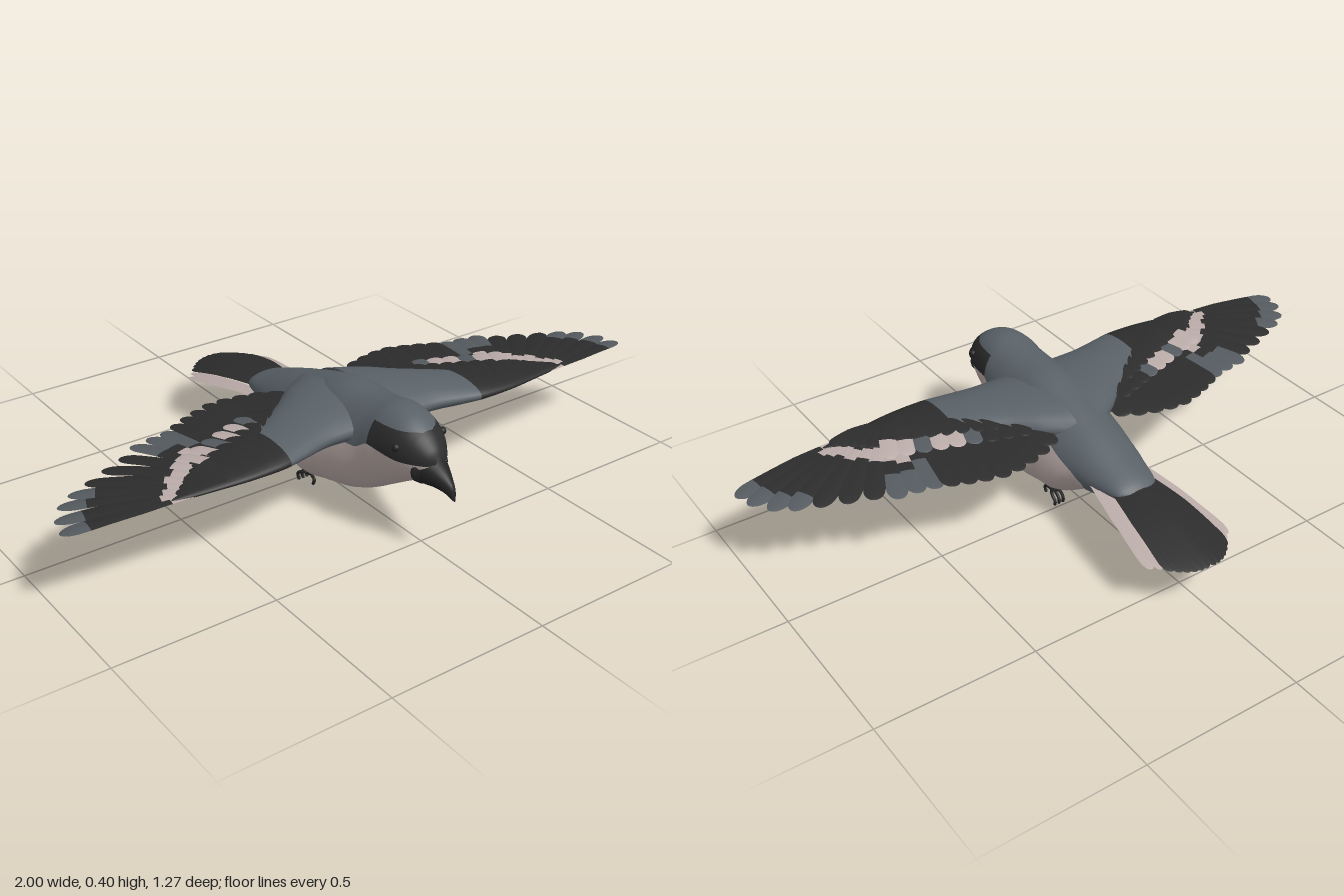
import * as THREE from 'three';

const mat = (name, color) => {
  const m = new THREE.MeshStandardMaterial({ color, side: THREE.DoubleSide });
  m.name = name;
  return m;
};
const SLATE = mat('slate grey', 0x596167);
const BLACK = mat('feather black', 0x2c2c2d);
const PALE = mat('pale pinkish white', 0xbaaba8);
const HORN = mat('beak and claw black', 0x232324);
const TIP = mat('feather tip grey', 0x545a5f);

const { lerp } = THREE.MathUtils;

// Skin a grid of points; matOf(row, column) picks the colour of each quad
function surface(name, rows, matOf, { closed = false, flip = false } = {}) {
  const n = rows[0].length, cols = closed ? n : n - 1;
  const byMat = new Map();
  for (let i = 0; i < rows.length - 1; i++) for (let j = 0; j < cols; j++) {
    const k = (j + 1) % n;
    const a = i * n + j, b = (i + 1) * n + j, c = (i + 1) * n + k, d = i * n + k;
    const m = matOf(i, j);
    if (!byMat.has(m)) byMat.set(m, []);
    byMat.get(m).push(...(flip ? [a, c, b, a, d, c] : [a, b, c, a, c, d]));
  }
  const g = new THREE.BufferGeometry();
  g.setAttribute('position', new THREE.Float32BufferAttribute(rows.flat(2), 3));
  const index = [], mats = [...byMat.keys()];
  mats.forEach((m, q) => {
    g.addGroup(index.length, byMat.get(m).length, q);
    index.push(...byMat.get(m));
  });
  g.setIndex(index);
  g.computeVertexNormals();
  const mesh = new THREE.Mesh(g, mats.length > 1 ? mats : mats[0]);
  mesh.name = name;
  return mesh;
}

// Smoothly resample a table of stations
function smooth(table, count) {
  const pick = (r, k) => new THREE.Vector3(r[k], r[k + 1], r[k + 2] ?? 0);
  const a = new THREE.CatmullRomCurve3(table.map(r => pick(r, 0)));
  const b = new THREE.CatmullRomCurve3(table.map(r => pick(r, 3)));
  return Array.from({ length: count + 1 }, (_, i) => {
    const p = a.getPoint(i / count), q = b.getPoint(i / count);
    return [p.x, p.y, p.z, q.x, q.y];
  });
}

// Piecewise linear lookup in [x, y] pairs with falling x
function lookup(pairs, x) {
  for (let i = 1; i < pairs.length; i++) {
    const [x0, y0] = pairs[i - 1], [x1, y1] = pairs[i];
    if (x >= x1) return lerp(y0, y1, Math.min(1, Math.max(0, (x - x0) / (x1 - x0))));
  }
  return pairs[pairs.length - 1][1];
}

// Head and body: z, top, bottom, half width, height fraction of the widest point
function makeBody() {
  const st = smooth([
    [0.565, 0.30, 0.27, 0.012, 0.55], [0.55, 0.328, 0.245, 0.04, 0.55], [0.51, 0.367, 0.217, 0.07, 0.55],
    [0.46, 0.396, 0.188, 0.09, 0.55], [0.395, 0.408, 0.147, 0.102, 0.55], [0.327, 0.397, 0.105, 0.115, 0.5],
    [0.26, 0.39, 0.073, 0.133, 0.44], [0.155, 0.387, 0.052, 0.15, 0.38], [0.05, 0.36, 0.046, 0.15, 0.38],
    [0, 0.345, 0.05, 0.145, 0.4], [-0.05, 0.328, 0.077, 0.135, 0.42], [-0.115, 0.306, 0.122, 0.115, 0.45],
    [-0.2, 0.273, 0.145, 0.095, 0.5], [-0.285, 0.238, 0.183, 0.072, 0.5], [-0.32, 0.212, 0.2, 0.025, 0.5],
  ], 84);
  const paleEdge = [[0.57, 0.285], [0.48, 0.283], [0.37, 0.3], [0.33, 0.272], [0, 0.27], [-0.115, 0.22], [-0.16, 0.19]];
  const N = 8, H = Math.PI / 2;
  const rows = st.map(([z, top, bot, w, f]) => {
    const c = lerp(bot, top, f);
    const angle = y => {
      const s = (y - c) / (y > c ? top - c : c - bot);
      return Math.asin(Math.min(0.97, Math.max(-0.97, s)));
    };
    const a1 = angle(lookup(paleEdge, z)), a2 = Math.max(angle(0.367), a1 + 0.05);
    const half = [];
    for (let i = 0; i <= 3 * N; i++) {
      const b = Math.min(2, Math.floor(i / N)), t = i / N - b;
      const a = lerp([-H, a1, a2][b], [a1, a2, H][b], t), s = Math.sin(a);
      half.push([w * Math.cos(a), c + s * (s > 0 ? top - c : c - bot), z]);
    }
    return [...half, ...half.slice(1, -1).reverse().map(([x, y, zz]) => [-x, y, zz])];
  });
  return surface('body', rows, (i, j) => {
    const z = (st[i][0] + st[i + 1][0]) / 2;
    const band = Math.floor((j < 3 * N ? j : 6 * N - 1 - j) / N);
    if (band === 0) return z < -0.15 ? SLATE : PALE;
    if (band === 1) return z > 0.37 ? BLACK : SLATE;
    return z > 0.51 ? BLACK : SLATE;
  }, { closed: true });
}

const ring = (n, fn) => Array.from({ length: n }, (_, k) => {
  const a = -Math.PI / 2 + k / n * Math.PI * 2;
  return fn(Math.cos(a), Math.sin(a));
});

// Hooked beak: z, top, bottom, half width
function makeBeak() {
  const st = smooth([
    [0.635, 0.208, 0.2, 0.002, 0], [0.626, 0.24, 0.203, 0.01, 0], [0.605, 0.262, 0.213, 0.02, 0],
    [0.57, 0.287, 0.217, 0.036, 0], [0.535, 0.305, 0.213, 0.05, 0], [0.5, 0.3, 0.215, 0.05, 0],
  ], 24);
  const rows = st.map(([z, t, b, w]) => ring(20, (c, s) => [w * c, (t + b) / 2 + s * (t - b) / 2, z]));
  return surface('beak', rows, () => HORN, { closed: true });
}

// Feather from root to tip; bands are [end fraction, material]
function feather(name, root, tip, width, bands, bow = 0, tilt = 0) {
  const n = 20, d = tip.map((v, k) => v - root[k]);
  const len = Math.hypot(d[0], d[2]), sx = -d[2] / len, sz = d[0] / len;
  const rows = Array.from({ length: n + 1 }, (_, i) => {
    const t = Math.sin(i / n * Math.PI / 2);
    const round = t > 0.86 ? Math.sqrt(Math.max(0.0004, 1 - ((t - 0.86) / 0.14) ** 2)) : 1;
    const w = width * Math.min(1, 0.55 + t) * round;
    const y = root[1] + d[1] * t + bow * Math.sin(Math.PI * t);
    return [-1, -0.5, 0, 0.5, 1].map(u => [
      root[0] + d[0] * t + sx * w * u, y + w * (0.12 * (1 - u * u) + tilt * u), root[2] + d[2] * t + sz * w * u]);
  });
  return surface(name, rows, i => {
    const t = Math.sin((i + 0.5) / n * Math.PI / 2);
    return bands.find(b => t <= b[0])[1];
  }, { flip: true });
}

// Wing on side s: muscled arm plus layered rows of feathers
function makeWing(s) {
  const wing = new THREE.Group();
  wing.name = s > 0 ? 'leftWing' : 'rightWing';
  // x, top, bottom, front z, back z
  const st = smooth([
    [0.04, 0.365, 0.23, 0.32, -0.06], [0.13, 0.36, 0.245, 0.315, 0], [0.2, 0.352, 0.255, 0.318, 0.06],
    [0.28, 0.342, 0.262, 0.336, 0.11], [0.36, 0.332, 0.27, 0.353, 0.15], [0.46, 0.322, 0.277, 0.354, 0.19],
    [0.56, 0.312, 0.282, 0.343, 0.24], [0.66, 0.302, 0.287, 0.328, 0.295], [0.7, 0.296, 0.292, 0.318, 0.312],
  ], 40);
  const rows = st.map(([x, t, b, f, k]) => ring(24, (c, q) =>
    [s * x, (t + b) / 2 + q * (t - b) / 2, (f + k) / 2 + c * (f - k) / 2]));
  wing.add(surface('wingArm', rows, i => st[i][0] > 0.33 ? BLACK : SLATE, { closed: true, flip: s < 0 }));

  const add = (name, r, t, w, bands, bow) =>
    wing.add(feather(name, [s * r[0], r[1], r[2]], [s * t[0], t[1], t[2]], w, bands, bow, 0.1 * s));

  // Primaries, outermost first
  const primaries = [[1, 0.265], [0.987, 0.208], [0.95, 0.15], [0.9, 0.113], [0.835, 0.083], [0.765, 0.05],
    [0.695, 0.02], [0.635, -0.02], [0.575, -0.03]];
  primaries.forEach(([x, z], i) => {
    const k = i / 8, w0 = lerp(0.1, 0.3, k), w1 = lerp(0.24, 0.5, k);
    const bands = [[w0, BLACK], [w1, PALE]];
    if (i < 4) bands.push([0.83, BLACK], [1, TIP]);
    else if (i < 7) bands.push([1, BLACK]);
    else bands.push([0.62, BLACK], [1, TIP]);
    add('primaryFeather', [lerp(0.61, 0.49, k), 0.293 + 0.001 * i, lerp(0.318, 0.25, k)],
      [x, 0.275 + 0.0015 * i, z], 0.031, bands, 0.004);
  });

  // Secondaries towards the body
  const secondaries = [[0.52, -0.04], [0.475, -0.06], [0.43, -0.08], [0.385, -0.097], [0.335, -0.112], [0.285, -0.11],
    [0.235, -0.1], [0.185, -0.085], [0.14, -0.06]];
  secondaries.forEach(([x, z], i) => {
    const k = i / 8;
    add('secondaryFeather', [lerp(0.47, 0.13, k), 0.3 + 0.001 * i, lerp(0.25, 0.12, k)],
      [x, 0.285 + 0.001 * i, z], 0.032, i === 0 ? [[0.5, BLACK], [1, TIP]] : [[1, BLACK]], 0.004);
  });

  // Greater coverts with pale ends on the outer ones
  for (let i = 0; i < 9; i++) {
    const k = i / 8;
    add('greaterCovert', [lerp(0.5, 0.16, k), 0.315, lerp(0.3, 0.15, k)],
      [lerp(0.57, 0.19, k), 0.306 + 0.001 * i, lerp(0.14, 0, k)], 0.026,
      i < 6 ? [[0.55, BLACK], [1, i % 3 === 2 ? TIP : PALE]] : [[1, BLACK]], 0.004);
  }
  // Primary and lesser coverts
  for (let i = 0; i < 7; i++) {
    const k = i / 6;
    add('primaryCovert', [lerp(0.54, 0.46, k), 0.308, lerp(0.325, 0.29, k)],
      [lerp(0.68, 0.55, k), 0.302 + 0.001 * i, lerp(0.305, 0.185, k)], 0.02, [[1, BLACK]], 0.005);
    add('lesserCovert', [lerp(0.46, 0.26, k), 0.325, lerp(0.3, 0.22, k)],
      [lerp(0.5, 0.24, k), 0.313 + 0.001 * i, lerp(0.18, 0.07, k)], 0.026, [[1, BLACK]], 0.005);
  }
  return wing;
}

// Fanned tail with pale outer feathers
function makeTail() {
  const tail = new THREE.Group();
  tail.name = 'tail';
  for (const s of [1, -1]) {
    for (let i = 0; i < 6; i++) {
      tail.add(feather('tailFeather', [s * (0.01 + 0.009 * i), 0.226 - 0.002 * i, -0.24],
        [s * (0.012 + 0.017 * i), 0.155 - 0.001 * i, -0.635 + 0.002 * i * i], 0.024, [[1, BLACK]], 0.012, -0.08 * s));
    }
    for (let i = 0; i < 2; i++) {
      tail.add(feather('outerTailFeather', [s * (0.068 + 0.012 * i), 0.214 - 0.004 * i, -0.16],
        [s * (0.118 + 0.02 * i), 0.15 - 0.003 * i, -0.56 + 0.018 * i], 0.02, [[1, PALE]], 0.006));
    }
  }
  return tail;
}

// Small tucked leg with curled claws
function makeLeg(s) {
  const leg = new THREE.Group();
  leg.name = s > 0 ? 'leftLeg' : 'rightLeg';
  const tube = (name, pts, r) => {
    const c = new THREE.CatmullRomCurve3(pts.map(p => new THREE.Vector3(s * p[0], p[1], p[2])));
    const m = new THREE.Mesh(new THREE.TubeGeometry(c, 12, r, 8), HORN);
    m.name = name;
    leg.add(m);
  };
  tube('shank', [[0.085, 0.095, 0.12], [0.08, 0.065, 0.09], [0.072, 0.04, 0.05]], 0.008);
  for (const dx of [-0.015, 0, 0.015]) {
    tube('toe', [[0.072, 0.04, 0.05], [0.072 + dx, 0.038, 0.025], [0.072 + dx, 0.022, 0.008], [0.07 + dx, 0.005, 0.013]], 0.005);
  }
  tube('hindToe', [[0.075, 0.043, 0.06], [0.076, 0.032, 0.08], [0.076, 0.014, 0.074]], 0.005);
  return leg;
}

export function createModel() {
  const bird = new THREE.Group();
  bird.name = 'bird';
  bird.add(makeBody(), makeBeak(), makeTail());
  for (const s of [1, -1]) {
    bird.add(makeWing(s), makeLeg(s));
    const eye = new THREE.Mesh(new THREE.SphereGeometry(0.012, 16, 12), HORN);
    eye.name = 'eye';
    eye.position.set(s * 0.083, 0.325, 0.475);
    bird.add(eye);
  }
  return bird;
}
